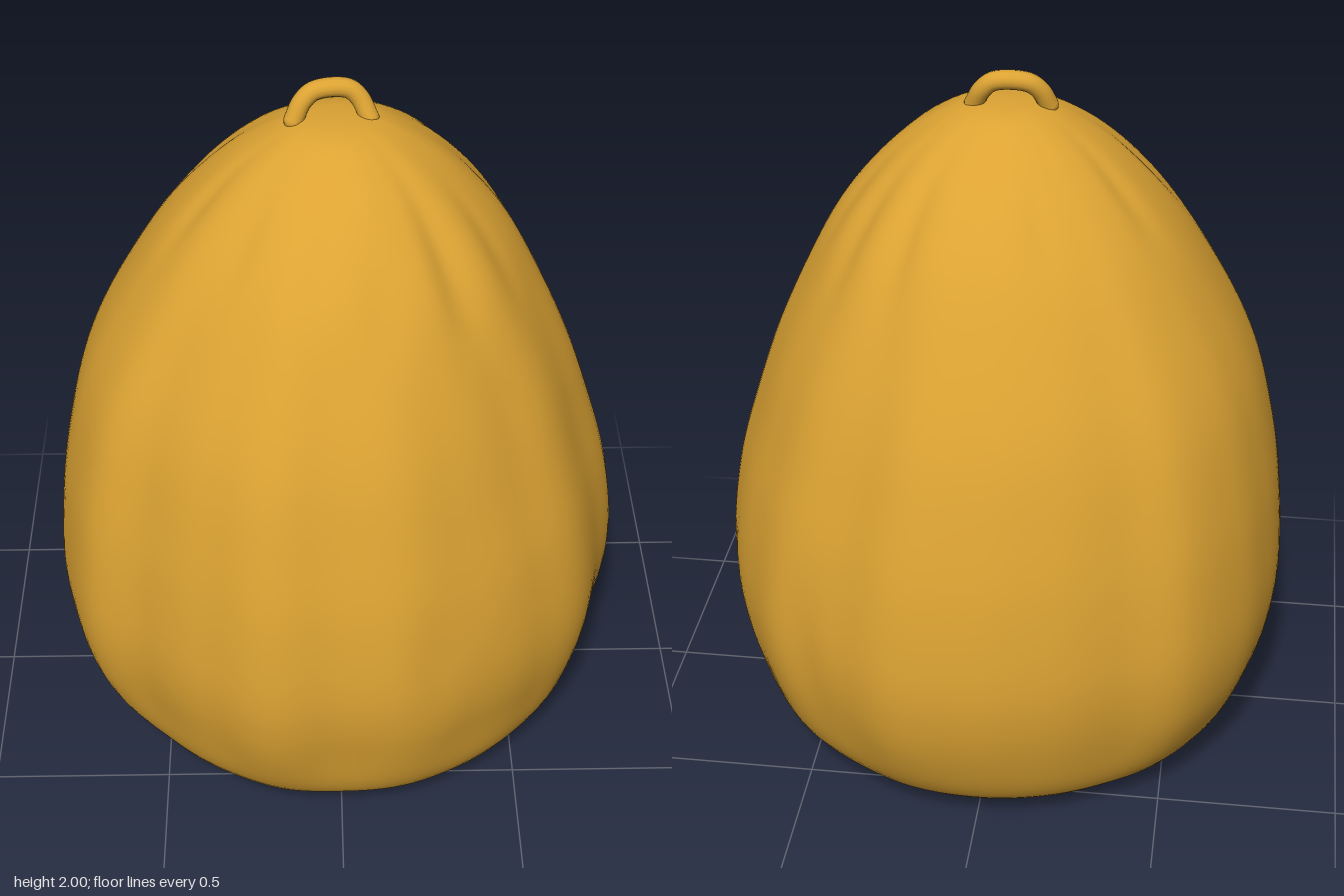
import * as THREE from 'three';
import { mergeVertices } from 'three/addons/utils/BufferGeometryUtils.js';

// Side profile of the sack: [radius, height] from the floor to the crown
const PROFILE = [
  [0, 0.008], [0.25, 0.01], [0.46, 0.022], [0.59, 0.05], [0.665, 0.1], [0.705, 0.16], [0.74, 0.25],
  [0.778, 0.4], [0.79, 0.55], [0.765, 0.8], [0.72, 1.0], [0.66, 1.2], [0.57, 1.4],
  [0.455, 1.6], [0.33, 1.75], [0.23, 1.835], [0.11, 1.9], [0, 1.912],
];

// Lumpy plan outline: radius every 15 degrees, from +x towards +z
const OUTLINE = [
  0.80, 0.77, 0.785, 0.762, 0.758, 0.778, 0.76, 0.803, 0.773, 0.764, 0.817, 0.805,
  0.798, 0.80, 0.812, 0.82, 0.783, 0.79, 0.80, 0.815, 0.782, 0.80, 0.785, 0.785,
];

// Cloth folds: [angle, height, angular width, half height, depth]
const FOLDS = [
  [47, 1.66, 7, 0.17, 0.07], [22, 1.62, 6, 0.14, 0.03], [75, 1.6, 8, 0.12, 0.03],
  [100, 1.68, 7, 0.12, 0.025], [130, 1.7, 7, 0.12, 0.03], [163, 1.72, 6, 0.12, 0.04],
  [205, 1.74, 6, 0.12, 0.045], [250, 1.7, 7, 0.1, 0.025], [303, 1.66, 6, 0.15, 0.05],
  [325, 1.64, 6, 0.15, 0.04], [345, 1.68, 6, 0.12, 0.025],
  [71, 0.62, 6, 0.2, 0.02], [308, 0.5, 5, 0.22, 0.025], [40, 1.25, 12, 0.25, 0.02],
];

const bell = (d, width) => Math.exp(-((d / width) ** 2));

function outlineScale(deg) {
  const i = Math.floor(deg / 15) % 24;
  const t = (1 - Math.cos(((deg / 15) % 1) * Math.PI)) / 2;
  return THREE.MathUtils.lerp(OUTLINE[i], OUTLINE[(i + 1) % 24], t) / 0.79;
}

function sackGeometry() {
  const curve = new THREE.CatmullRomCurve3(
    PROFILE.map(([r, y]) => new THREE.Vector3(r, y, 0)), false, 'centripetal');
  const points = curve.getSpacedPoints(90).map((p) => new THREE.Vector2(Math.max(p.x, 0), p.y));
  points[0].x = points[points.length - 1].x = 0;
  let geometry = new THREE.LatheGeometry(points, 144);
  const pos = geometry.attributes.position;
  for (let i = 0; i < pos.count; i++) {
    const x = pos.getX(i), y = pos.getY(i), z = pos.getZ(i);
    const deg = (THREE.MathUtils.radToDeg(Math.atan2(z, x)) + 360) % 360;
    // The lumps fade towards the floor and the crown
    const weight = THREE.MathUtils.smoothstep(y, 0, 0.35)
      * (1 - 0.6 * THREE.MathUtils.smoothstep(y, 0.9, 1.8));
    let k = 1 + (outlineScale(deg) - 1) * weight;
    for (const [angle, height, width, half, depth] of FOLDS) {
      const d = ((deg - angle + 540) % 360) - 180;
      // Each fold is a groove with a soft ridge on both sides
      k -= depth * (bell(d, width) - 0.35 * bell(d, width * 2.2)) * bell(y - height, half);
    }
    // The upper sack sags slightly to its right
    const sag = -0.025 * bell(y - 1.2, 0.4);
    pos.setXYZ(i, x * k + sag, y, z * k);
  }
  // Weld the seam so the cloth shades smoothly all round
  geometry.deleteAttribute('uv');
  geometry.deleteAttribute('normal');
  geometry = mergeVertices(geometry, 1e-5);
  geometry.computeVertexNormals();
  return geometry;
}

export function createModel() {
  const fabric = new THREE.MeshStandardMaterial({ color: 0xdca333 });
  fabric.name = 'mustard fabric';
  const model = new THREE.Group();
  model.name = 'beanBag';

  const add = (name, geometry, parent) => {
    const mesh = new THREE.Mesh(geometry, fabric);
    mesh.name = name;
    parent.add(mesh);
    return mesh;
  };

  add('sack', sackGeometry(), model);

  // Carrying loop on the crown, with rounded ends
  const handle = new THREE.Group();
  handle.name = 'handle';
  model.add(handle);
  const path = [
    [-0.115, 1.9, 0], [-0.092, 1.946, -0.015], [-0.06, 1.971, -0.027],
    [0.025, 1.973, -0.036], [0.056, 1.948, -0.032], [0.082, 1.898, -0.014],
  ].map((p) => new THREE.Vector3(...p));
  const radius = 0.026;
  add('handleLoop', new THREE.TubeGeometry(new THREE.CatmullRomCurve3(path), 48, radius, 14), handle);
  for (const end of [path[0], path[path.length - 1]]) {
    add('handleEnd', new THREE.SphereGeometry(radius, 14, 10), handle).position.copy(end);
  }
  return model;
}
